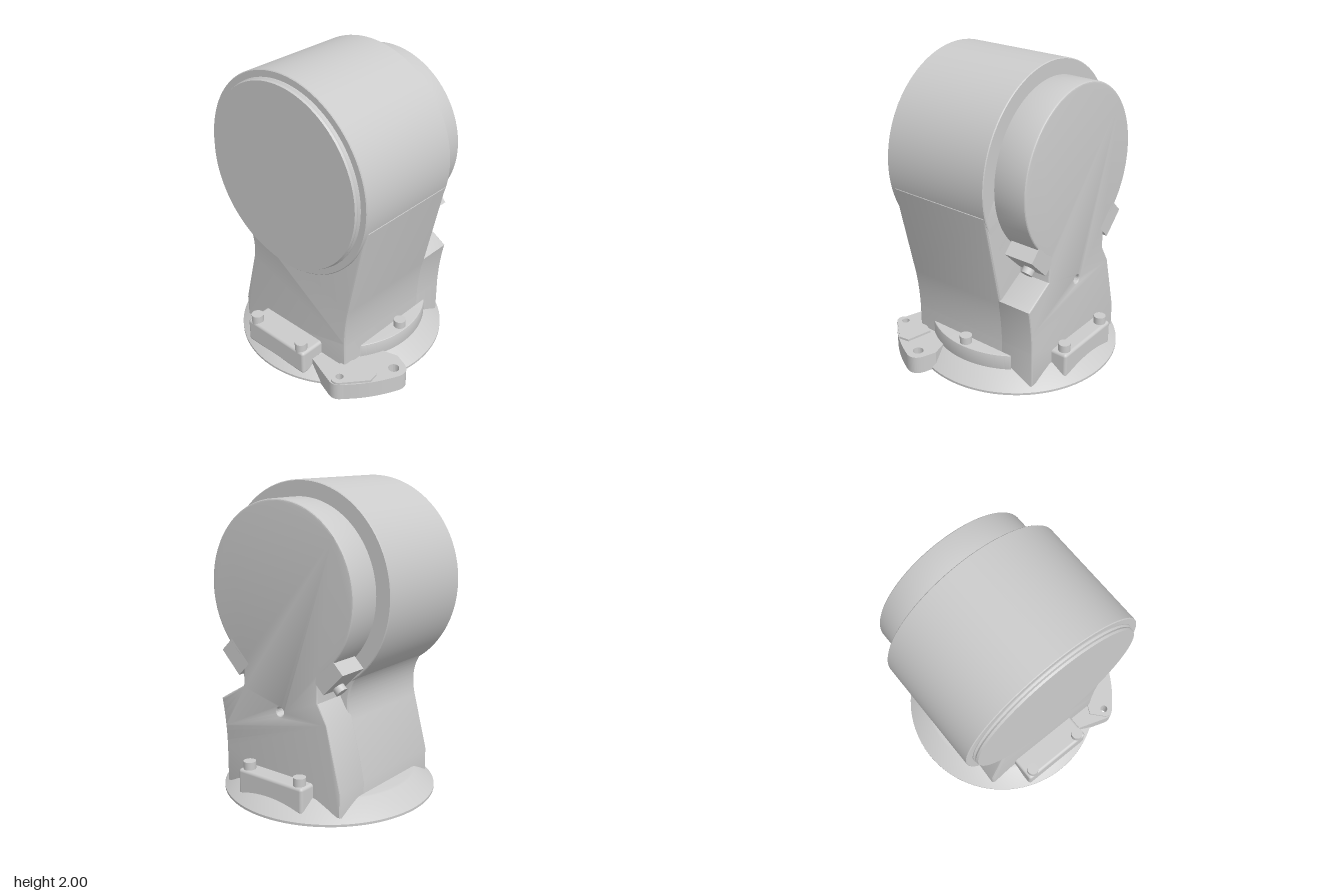
import * as THREE from 'three';
import { toCreasedNormals } from 'three/addons/utils/BufferGeometryUtils.js';
import { RoundedBoxGeometry } from 'three/addons/geometries/RoundedBoxGeometry.js';

const CX = -0.045; // axis of the drum and base
const CY = 1.35;
const material = new THREE.MeshStandardMaterial({ color: 0xcccccc });

export function createModel() {
  const model = new THREE.Group();
  model.name = 'drumOnPedestal';

  const add = (name, geometry, x = 0, y = 0, z = 0, parent = model) => {
    const mesh = new THREE.Mesh(geometry, material);
    mesh.name = name;
    mesh.position.set(x, y, z);
    parent.add(mesh);
    return mesh;
  };
  const lathe = (points) => toCreasedNormals(
    new THREE.LatheGeometry(points.map(([r, h]) => new THREE.Vector2(r, h)), 96), 0.4);
  // Extrusion whose total depth, bevels included, is exactly depth
  const extrude = (shape, depth, bevel = 0) => {
    const geometry = new THREE.ExtrudeGeometry(shape, {
      depth: depth - 2 * bevel, curveSegments: 48, bevelEnabled: bevel > 0,
      bevelThickness: bevel, bevelSize: bevel, bevelOffset: -bevel, bevelSegments: 3,
    });
    geometry.translate(0, 0, bevel);
    return toCreasedNormals(geometry, 0.5);
  };
  const hole = (shape, x, y, r) => {
    const path = new THREE.Path();
    path.absarc(x, y, r, 0, Math.PI * 2, true);
    shape.holes.push(path);
  };

  // Conical foot
  add('baseFlange', lathe([[0, 0], [0.695, 0], [0.695, 0.015], [0.565, 0.115], [0.55, 0.12], [0, 0.12]]), CX);

  // Main drum with front cover
  const drum = lathe([[0, -0.27], [0.645, -0.27], [0.65, -0.265], [0.65, 0.485], [0.645, 0.49], [0, 0.49]]);
  add('mainDrum', drum.rotateX(Math.PI / 2), CX, CY);
  const cover = lathe([[0, 0.48], [0.605, 0.48], [0.605, 0.495], [0.597, 0.505], [0.6, 0.515], [0.595, 0.528], [0, 0.528]]);
  add('frontCover', cover.rotateX(Math.PI / 2), CX, CY);

  // Neck flowing into the drum
  const neck = new THREE.Shape();
  neck.moveTo(-0.51, 0.04);
  neck.lineTo(0.42, 0.04);
  neck.lineTo(0.42, 0.28);
  neck.quadraticCurveTo(0.425, 0.45, 0.455, 0.58);
  neck.lineTo(0.59, 1.2);
  neck.lineTo(0.5, 1.35);
  neck.lineTo(-0.5, 1.35);
  neck.lineTo(-0.5, 0.9);
  neck.quadraticCurveTo(-0.36, 0.77, -0.415, 0.56);
  neck.lineTo(-0.51, 0.2);
  add('neck', extrude(neck, 0.74, 0.02), 0, 0, -0.27);

  // Rear drum and rear neck in one plate, notched where they meet
  const rear = new THREE.Shape();
  const a = Math.PI * 0.317;
  rear.moveTo(-0.51, 0.04);
  rear.lineTo(0.42, 0.04);
  rear.lineTo(0.42, 0.28);
  rear.quadraticCurveTo(0.425, 0.45, 0.458, 0.6);
  rear.lineTo(0.41, 0.63);
  rear.lineTo(0.26, 0.72);
  rear.lineTo(0.25, 0.86);
  rear.absarc(CX, CY, 0.55, -a, Math.PI + a, false);
  rear.lineTo(-0.34, 0.86);
  rear.lineTo(-0.34, 0.72);
  rear.lineTo(-0.41, 0.6);
  rear.lineTo(-0.51, 0.2);
  hole(rear, CX, 0.61, 0.027);
  add('rearHousing', extrude(rear, 0.25, 0.012), 0, 0, -0.49);

  // Connector block with a knob on each side of the rear drum
  for (const side of [1, -1]) {
    const connector = new THREE.Group();
    connector.name = side > 0 ? 'leftConnector' : 'rightConnector';
    connector.position.set(CX, CY, -0.39);
    connector.rotation.z = side > 0 ? -Math.PI / 4 : -Math.PI * 0.75;
    model.add(connector);
    add('connectorBlock', new THREE.BoxGeometry(0.12, 0.2, 0.2), 0.58, -side * 0.06, 0, connector);
    const knob = new THREE.CylinderGeometry(0.038, 0.038, 0.1, 24).rotateZ(-Math.PI / 2);
    add('connectorKnob', knob, 0.63, -side * 0.115, 0, connector);
  }

  // Mounting bosses at front and back, curved collar on the left
  add('frontBoss', new RoundedBoxGeometry(0.52, 0.17, 0.22, 3, 0.02), CX, 0.125, 0.53);
  add('rearBoss', new RoundedBoxGeometry(0.52, 0.17, 0.18, 3, 0.02), CX, 0.125, -0.51);
  const collar = new THREE.Shape();
  collar.absarc(CX, 0, 0.575, -0.61, 0.61, false);
  add('sideCollar', extrude(collar, 0.13, 0.006).rotateX(-Math.PI / 2), 0, 0.08);

  // Bolts
  for (const [x, z] of [[-0.25, 0.6], [0.16, 0.6], [-0.25, -0.55], [0.16, -0.55], [0.48, 0]])
    add('bolt', new THREE.CylinderGeometry(0.04, 0.04, 0.08, 24), x, 0.22, z);

  // Side bracket with three holes, drawn in plan as (x, -z)
  const bracket = new THREE.Shape();
  bracket.moveTo(0.2, -0.55);
  bracket.lineTo(0.43, -0.628);
  bracket.quadraticCurveTo(0.485, -0.645, 0.52, -0.595);
  bracket.quadraticCurveTo(0.65, -0.47, 0.73, -0.29);
  bracket.quadraticCurveTo(0.75, -0.22, 0.68, -0.19);
  bracket.lineTo(0.6, -0.16);
  bracket.lineTo(0.45, -0.2);
  bracket.lineTo(0.25, -0.42);
  hole(bracket, 0.655, -0.265, 0.035);
  hole(bracket, 0.465, -0.567, 0.025);
  hole(bracket, 0.53, -0.44, 0.025);
  add('sideBracket', extrude(bracket, 0.12).rotateX(-Math.PI / 2));

  // Thin raised pad on the bracket
  const pad = new THREE.Shape();
  pad.moveTo(0.36, -0.53);
  pad.lineTo(0.44, -0.62);
  pad.quadraticCurveTo(0.485, -0.64, 0.515, -0.595);
  pad.lineTo(0.63, -0.46);
  pad.lineTo(0.62, -0.39);
  pad.lineTo(0.45, -0.35);
  hole(pad, 0.465, -0.567, 0.025);
  hole(pad, 0.53, -0.44, 0.025);
  add('bracketPad', extrude(pad, 0.02).rotateX(-Math.PI / 2), 0, 0.115);

  return model;
}
